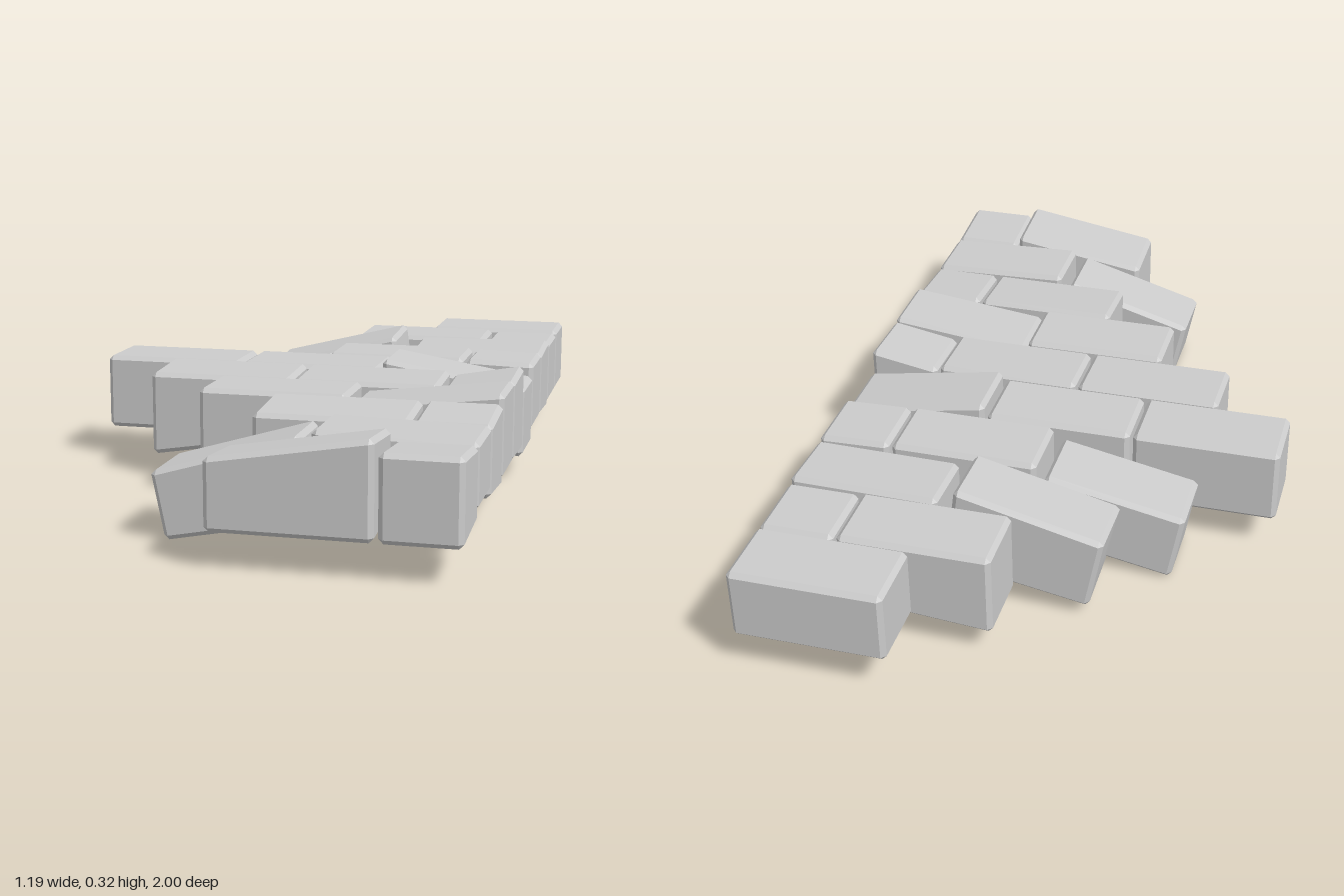
import * as THREE from 'three';
import { ConvexGeometry } from 'three/addons/geometries/ConvexGeometry.js';

const material = new THREE.MeshStandardMaterial({ color: 0xcccccc, flatShading: true });
const BEVEL = 0.012;
const CUT = 0.595; // plane where the paving is cut off straight

// A chamfered brick: section corners [x, y] as bottom-left, top-left, bottom-right, top-right.
// flare > 0 makes the front side taller, flare < 0 the back side.
function brickGeometry(section, z, flare) {
  const points = [];
  for (let i = 0; i < 4; i++) {
    const [x, y] = section[i];
    const dx = i < 2 ? BEVEL : -BEVEL;
    const dy = i % 2 === 0 ? BEVEL : -BEVEL;
    const cut = x > CUT - 0.001;
    for (const side of [-1, 1]) {
      const cy = y - Math.sign(dy) * side * flare;
      const cz = z + side * 0.098;
      const dz = -side * BEVEL;
      points.push(new THREE.Vector3(x, cy + dy, cz + dz));
      if (cut) {
        points.push(new THREE.Vector3(x, cy, cz + dz), new THREE.Vector3(x, cy + dy, cz));
      } else {
        points.push(new THREE.Vector3(x + dx, cy, cz + dz), new THREE.Vector3(x + dx, cy + dy, cz));
      }
    }
  }
  return new ConvexGeometry(points);
}

// Upright brick from x0 to x1 with its own bottom and top heights at both ends
function straight(x0, x1, b0 = 0.09, t0 = 0.297, b1 = 0.09, t1 = 0.297) {
  const l = x0 + 0.003;
  const r = Math.min(x1 - 0.006, CUT);
  return [[l, b0], [l, t0], [r, b1], [r, t1]];
}

// Rows from back to front, bricks from the loose edge to the cut edge
const rows = [
  { z: -0.9, flare: 0, bricks: [straight(0.2, 0.6, 0.1, 0.29, 0.1, 0.29)] },
  { z: -0.7, flare: 0, bricks: [
    straight(0, 0.4, 0.065, 0.29, 0.095, 0.29), straight(0.4, 0.6, 0.1, 0.285, 0.1, 0.285)] },
  { z: -0.5, flare: -0.005, bricks: [
    [[-0.19, 0.035], [-0.225, 0.23], [0.19, 0.1], [0.16, 0.32]],
    straight(0.2, 0.6, 0.07, 0.285, 0.095, 0.29)] },
  { z: -0.3, flare: 0, bricks: [
    [[-0.36, 0.005], [-0.39, 0.195], [0, 0.07], [-0.02, 0.265]],
    straight(0, 0.4), straight(0.4, 0.6, 0.09, 0.295, 0.1, 0.29)] },
  { z: -0.1, flare: 0, bricks: [
    straight(-0.6, -0.2), straight(-0.2, 0.2), straight(0.2, 0.6, 0.115, 0.32, 0.067, 0.258)] },
  { z: 0.1, flare: -0.004, bricks: [
    straight(-0.4, 0, 0.062, 0.297, 0.12, 0.297), straight(0, 0.4),
    straight(0.4, 0.6, 0.09, 0.287, 0.095, 0.317)] },
  { z: 0.3, flare: 0, bricks: [
    straight(-0.2, 0.2), straight(0.2, 0.6, 0.09, 0.275, 0.1, 0.318)] },
  { z: 0.5, flare: -0.007, bricks: [
    straight(0, 0.4, 0.095, 0.29, 0.095, 0.29), straight(0.4, 0.6, 0.095, 0.29, 0.095, 0.29)] },
  { z: 0.7, flare: 0, bricks: [
    [[-0.16, 0.005], [-0.19, 0.175], [0.2, 0.07], [0.175, 0.275]],
    straight(0.2, 0.6, 0.09, 0.295, 0.125, 0.285)] },
  { z: 0.9, flare: 0.007, bricks: [
    straight(0, 0.4, 0.097, 0.258, 0.097, 0.318), straight(0.4, 0.6, 0.097, 0.29, 0.097, 0.29)] },
];

export function createModel() {
  const model = new THREE.Group();
  model.name = 'brokenBrickPaving';
  rows.forEach((row, r) => {
    const group = new THREE.Group();
    group.name = `brickRow${r + 1}`;
    row.bricks.forEach((section, b) => {
      const brick = new THREE.Mesh(brickGeometry(section, row.z, row.flare), material);
      brick.name = `brick${b + 1}`;
      group.add(brick);
    });
    model.add(group);
  });
  return model;
}
